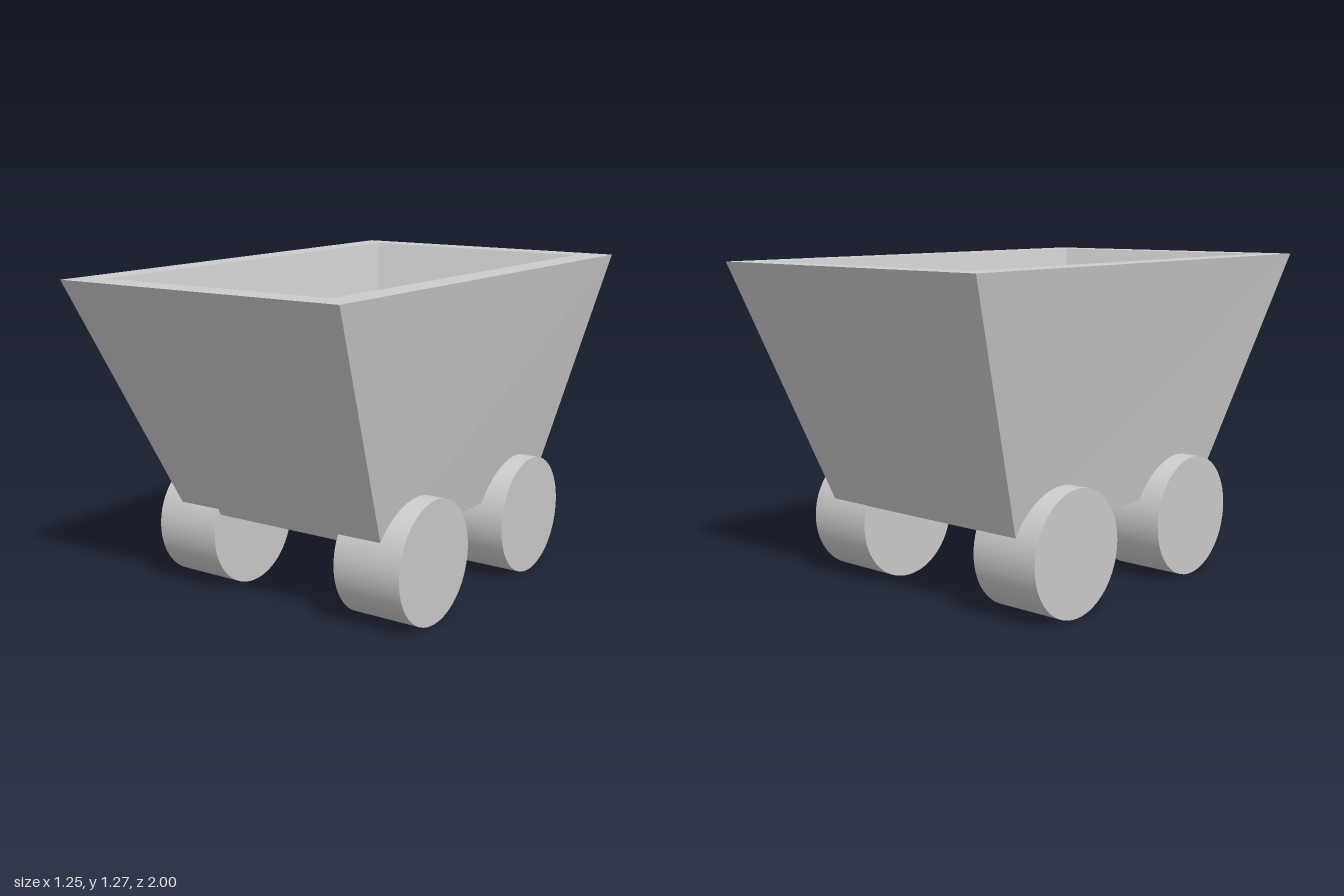
import * as THREE from 'three';

const grey = new THREE.MeshStandardMaterial({ color: 0xcccccc });
grey.name = 'plainGrey';

// Four corners per ring, in order: back -x, front -x, front +x, back +x
const rings = [
  [[-0.47, 0.325, -0.635], [-0.47, 0.325, 0.535], [0.467, 0.325, 0.53], [0.47, 0.325, -0.635]],  // outer bottom
  [[-0.625, 1.268, -1], [-0.61, 1.264, 1], [0.6, 1.262, 0.965], [0.625, 1.266, -1]],             // outer rim
  [[-0.51, 1.268, -0.89], [-0.5, 1.264, 0.88], [0.485, 1.262, 0.85], [0.505, 1.266, -0.89]],     // inner rim
  [[-0.32, 0.53, -0.6], [-0.31, 0.53, 0.585], [0.3, 0.53, 0.57], [0.315, 0.53, -0.6]],           // inner floor
];

// Hollow tub: quads between successive rings, closed by the underside and the floor
function tubGeometry() {
  const positions = [];
  const quad = (a, b, c, d) => [a, b, c, a, c, d].forEach((p) => positions.push(...p));
  for (let r = 0; r < rings.length - 1; r++) {
    const low = rings[r], high = rings[r + 1];
    for (let i = 0; i < 4; i++) {
      const j = (i + 1) % 4;
      quad(low[i], low[j], high[j], high[i]);
    }
  }
  const [bottom, , , floor] = rings;
  quad(bottom[3], bottom[2], bottom[1], bottom[0]);
  quad(floor[0], floor[1], floor[2], floor[3]);
  const geometry = new THREE.BufferGeometry();
  geometry.setAttribute('position', new THREE.Float32BufferAttribute(positions, 3));
  geometry.computeVertexNormals();
  return geometry;
}

export function createModel() {
  const model = new THREE.Group();
  model.name = 'cart';

  const tub = new THREE.Mesh(tubGeometry(), grey);
  tub.name = 'tub';
  model.add(tub);

  // Wide drum wheels, mirrored left and right
  const wheelGeometry = new THREE.CylinderGeometry(0.24, 0.24, 0.285, 64).rotateZ(Math.PI / 2);
  for (const [end, z] of [['front', 0.333], ['back', -0.412]]) {
    for (const [side, sign] of [['Left', 1], ['Right', -1]]) {
      const wheel = new THREE.Mesh(wheelGeometry, grey);
      wheel.name = `${end}${side}Wheel`;
      wheel.position.set(sign * 0.428, 0.24, z);
      model.add(wheel);
    }
  }
  return model;
}
